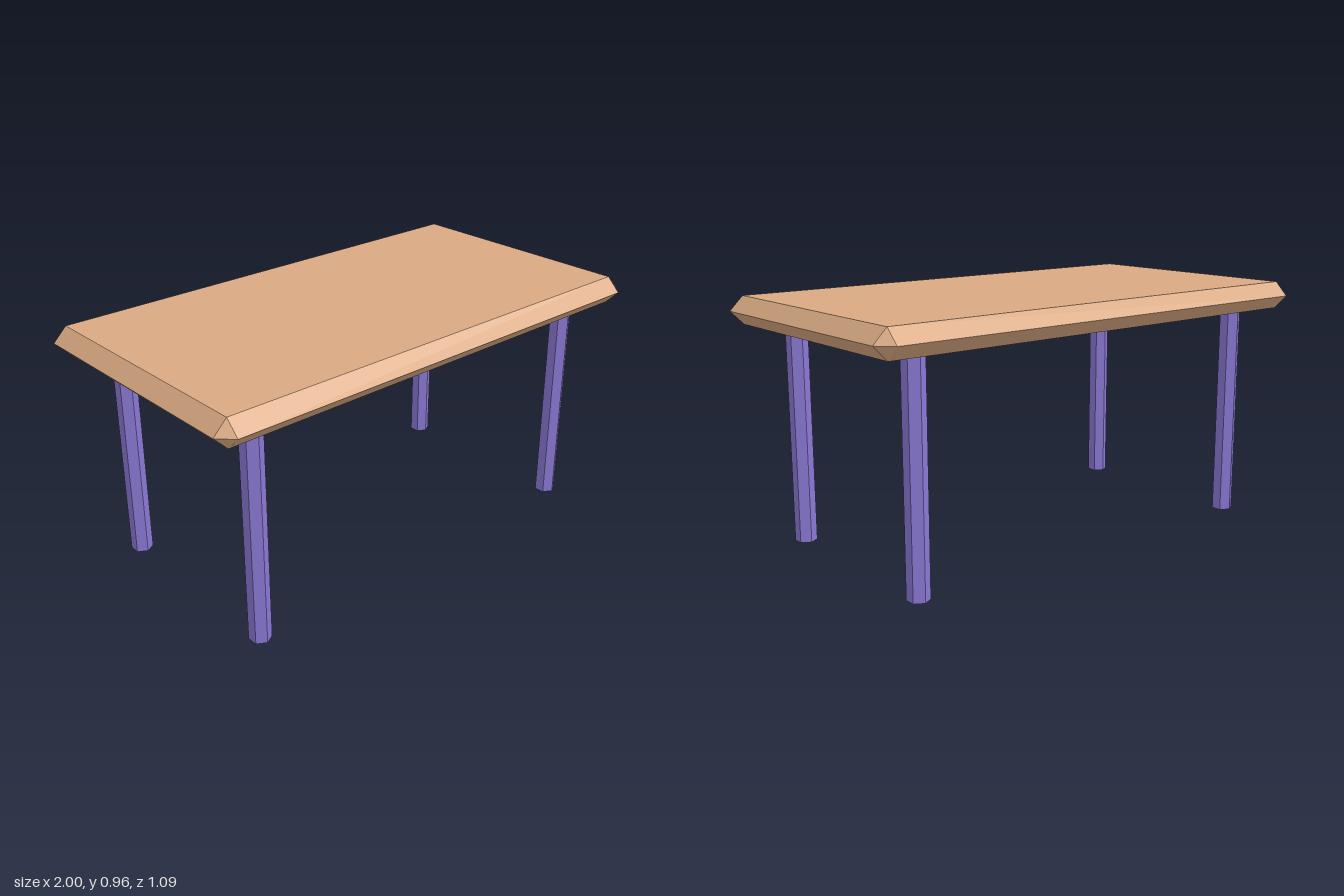
import * as THREE from 'three';
import { ConvexGeometry } from 'three/addons/geometries/ConvexGeometry.js';

const wood = new THREE.MeshStandardMaterial({ color: 0xd9a982, flatShading: true });
wood.name = 'tan wood';
const paint = new THREE.MeshStandardMaterial({ color: 0x8a78d4, flatShading: true });
paint.name = 'purple paint';

// Box whose edges and corners are cut off by a bevel
function beveledSlab(hx, hy, hz, bevel) {
  const points = [];
  for (const sx of [-1, 1]) for (const sy of [-1, 1]) for (const sz of [-1, 1]) {
    const x = hx - bevel, y = hy - bevel, z = hz - bevel;
    points.push(
      new THREE.Vector3(sx * hx, sy * y, sz * z),
      new THREE.Vector3(sx * x, sy * hy, sz * z),
      new THREE.Vector3(sx * x, sy * y, sz * hz)
    );
  }
  // The bevels meet at mid height, so drop doubled corners
  const unique = points.filter((p, i) => points.findIndex(q => q.distanceTo(p) < 1e-5) === i);
  return new ConvexGeometry(unique);
}

export function createModel() {
  const table = new THREE.Group();
  table.name = 'table';

  // Tabletop with edges bevelled to a point
  const top = new THREE.Mesh(beveledSlab(1, 0.054, 0.545, 0.054), wood);
  top.name = 'tabletop';
  top.position.y = 0.91;
  table.add(top);

  // Four six-sided legs, ending just under the tabletop
  const legHeight = 0.85;
  const legGeometry = new THREE.CylinderGeometry(0.042, 0.042, legHeight, 6);
  for (const [endName, sz] of [['front', 1], ['back', -1]]) {
    for (const [sideName, sx] of [['Left', 1], ['Right', -1]]) {
      const leg = new THREE.Mesh(legGeometry, paint);
      leg.name = `${endName}${sideName}Leg`;
      leg.position.set(sx * 0.785, legHeight / 2, sz * 0.388);
      table.add(leg);
    }
  }
  return table;
}
